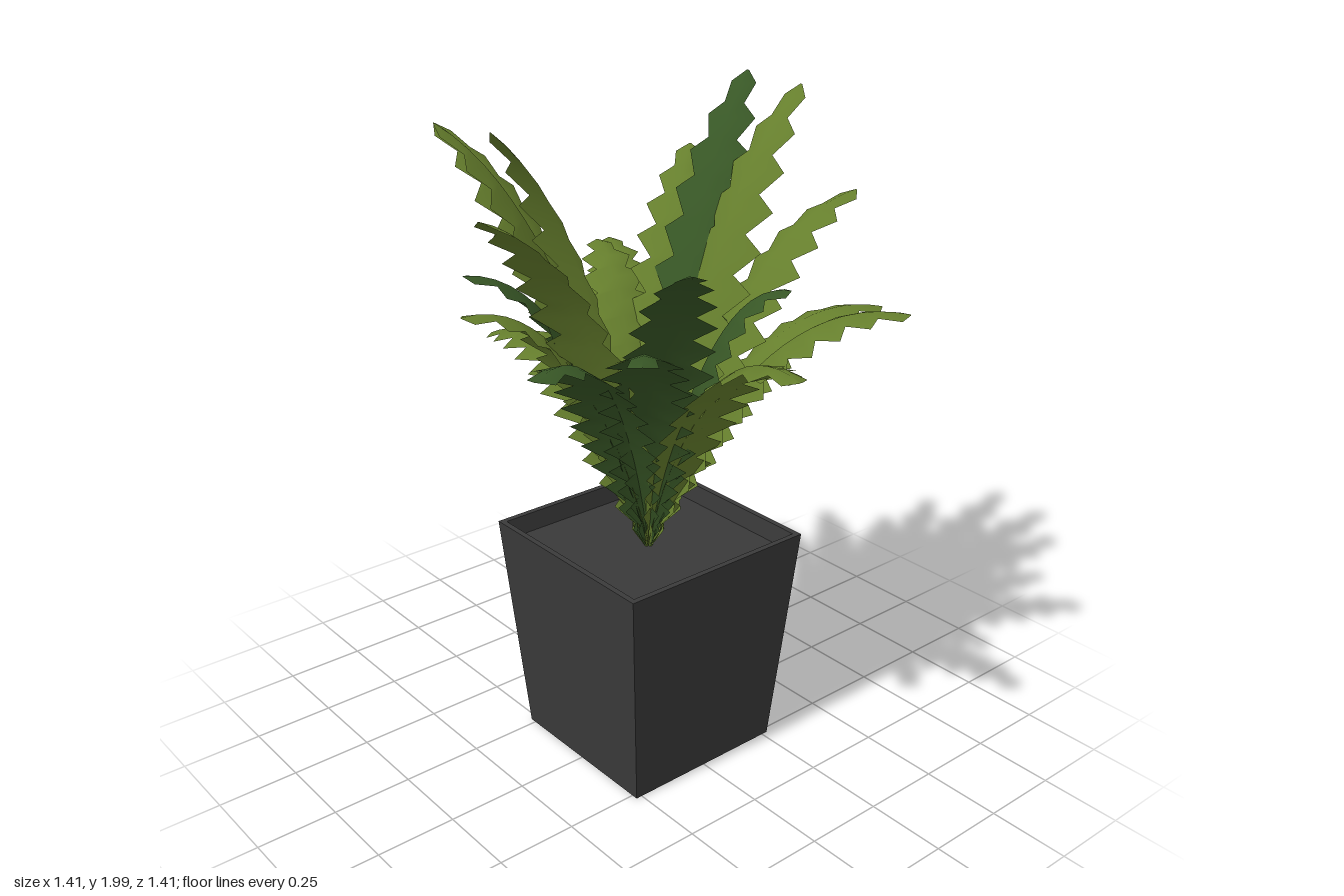
import * as THREE from 'three';

const potMat = new THREE.MeshStandardMaterial({ name: 'charcoal', color: 0x3a3a3a });
const soilMat = new THREE.MeshStandardMaterial({ name: 'darkSoil', color: 0x393939 });
const oliveMat = new THREE.MeshStandardMaterial({ name: 'oliveLeaf', color: 0x667f2d, side: THREE.DoubleSide });
const deepMat = new THREE.MeshStandardMaterial({ name: 'deepGreenLeaf', color: 0x385726, side: THREE.DoubleSide });

const BASE_Y = 0.66;
const TEETH = 12;

// Frond tips as [x, y, z]
const oliveTips = [
  [-0.07, 1.17, -0.71], [-0.27, 1.88, -0.66], [0.37, 1.42, -0.65], [0.59, 1.35, -0.45],
  [0.52, 1.75, -0.42], [0.61, 1.98, -0.03], [0.70, 1.68, 0.13], [0.69, 1.35, 0.27],
  [0.54, 1.42, 0.51], [0.16, 1.30, 0.46], [-0.09, 1.43, 0.70], [-0.71, 1.85, 0.23],
  [-0.50, 1.99, -0.02], [-0.58, 1.50, -0.08], [-0.42, 1.94, -0.42], [0.22, 1.47, -0.52],
];
const deepTips = [
  [0.61, 1.99, -0.26], [0.30, 1.48, 0.27], [-0.31, 1.71, 0.54],
  [-0.41, 1.48, 0.47], [-0.61, 1.44, 0.30], [-0.51, 1.58, -0.17],
];

// Half-width of the blade along its length
const widths = [[0, 0.02], [0.12, 0.065], [0.3, 0.115], [0.5, 0.138], [0.75, 0.115], [0.9, 0.07], [0.96, 0.04], [1, 0.03]];
function halfWidth(t) {
  for (let i = 1; i < widths.length; i++) {
    const [a, wa] = widths[i - 1], [b, wb] = widths[i];
    if (t <= b) return wa + (wb - wa) * (t - a) / (b - a);
  }
  return 0;
}

// Serrated blade swept along an arching curve: left edge, midrib, right edge per station
function frondGeometry([x, y, z]) {
  const arch = 0.06 + (1.46 - y) * 0.55;
  const curve = new THREE.QuadraticBezierCurve3(
    new THREE.Vector3(0, BASE_Y, 0),
    new THREE.Vector3(x * 0.4, y + arch, z * 0.4),
    new THREE.Vector3(x, y, z));
  const side = new THREE.Vector3(z, 0, -x).normalize();
  const stations = TEETH * 2;
  const positions = [], index = [];
  for (let i = 0; i <= stations; i++) {
    const t = i / stations;
    const mid = curve.getPointAt(t);
    const tangent = curve.getTangentAt(t);
    const up = new THREE.Vector3().crossVectors(tangent, side).normalize();
    if (up.y < 0) up.negate();
    const peak = i % 2 === 1;
    const w = i === stations ? 0.004 : halfWidth(t) * (peak ? 1 : 0.52);
    for (const s of [-1, 0, 1]) {
      const p = mid.clone().addScaledVector(side, s * w);
      if (s !== 0) {
        p.addScaledVector(up, -0.33 * w);
        if (peak) p.addScaledVector(tangent, 0.022);
      }
      positions.push(p.x, p.y, p.z);
    }
    if (i < stations) {
      for (const k of [0, 1]) {
        const a = i * 3 + k;
        index.push(a, a + 1, a + 3, a + 1, a + 4, a + 3);
      }
    }
  }
  const geo = new THREE.BufferGeometry();
  geo.setAttribute('position', new THREE.Float32BufferAttribute(positions, 3));
  geo.setIndex(index);
  geo.computeVertexNormals();
  // Face the blade's front upwards
  if (geo.attributes.normal.getY(stations * 1.5 + 1) < 0) {
    geo.setIndex(index.reverse());
    geo.computeVertexNormals();
  }
  return geo;
}

export function createModel() {
  const model = new THREE.Group();
  model.name = 'pottedFern';

  // Tapered square pot with a thin rim
  const profile = [[0, 0], [0.27, 0], [0.327, 0.72], [0.309, 0.72], [0.304, 0.65]]
    .map(([r, y]) => new THREE.Vector2(r * Math.SQRT2, y));
  const potGeo = new THREE.LatheGeometry(profile, 4).toNonIndexed();
  potGeo.rotateY(Math.PI / 4);
  potGeo.computeVertexNormals();
  const pot = new THREE.Mesh(potGeo, potMat);
  pot.name = 'pot';
  model.add(pot);

  // Soil inside the rim
  const soil = new THREE.Mesh(new THREE.PlaneGeometry(0.612, 0.612).rotateX(-Math.PI / 2), soilMat);
  soil.name = 'soil';
  soil.position.y = BASE_Y;
  model.add(soil);

  // Fronds radiating from the centre
  const fronds = new THREE.Group();
  fronds.name = 'fronds';
  for (const [tips, mat, name] of [[oliveTips, oliveMat, 'oliveFrond'], [deepTips, deepMat, 'deepGreenFrond']]) {
    tips.forEach((tip, i) => {
      const frond = new THREE.Mesh(frondGeometry(tip), mat);
      frond.name = name + (i + 1);
      fronds.add(frond);
    });
  }
  model.add(fronds);
  return model;
}
